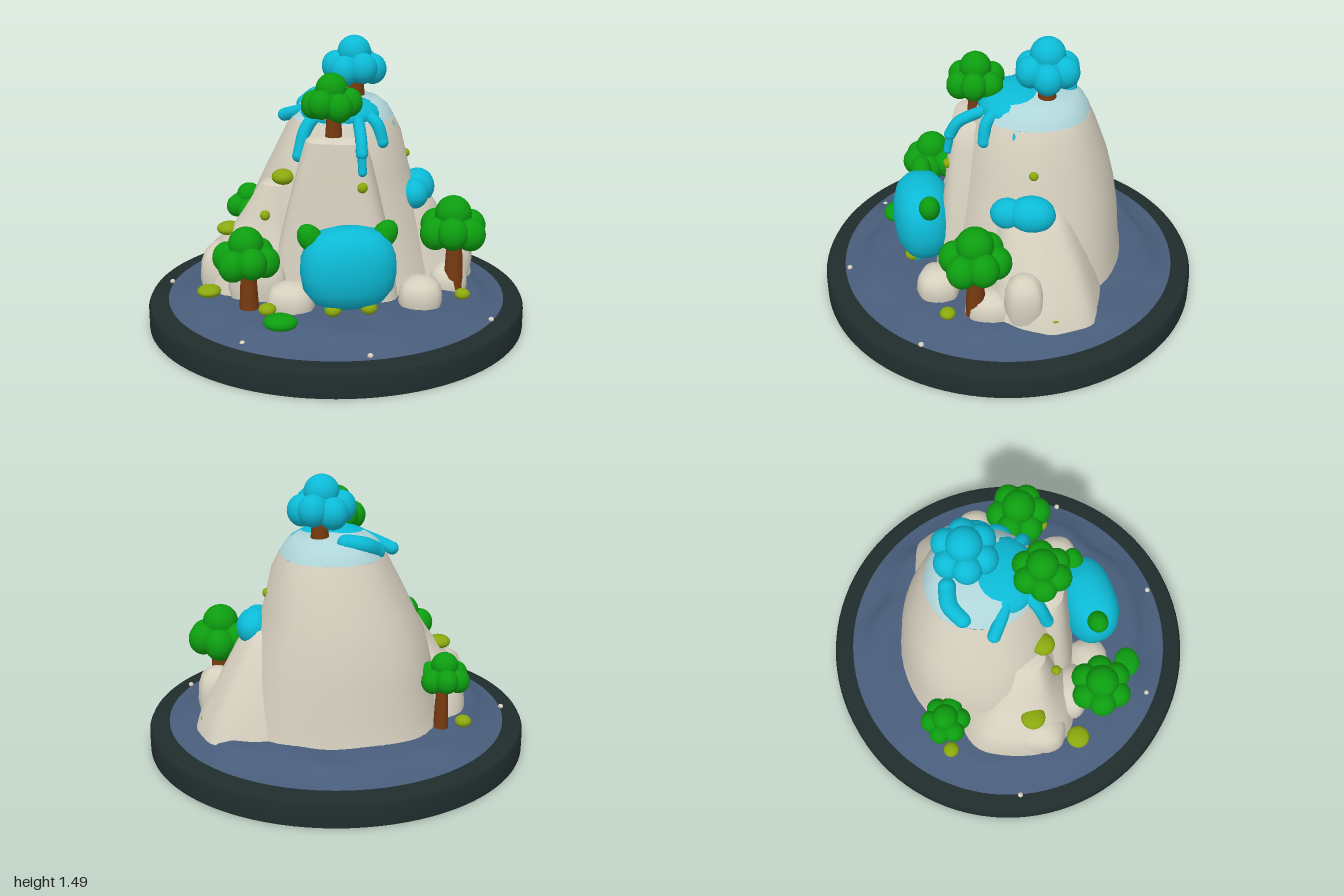
import * as THREE from 'three';
import { toCreasedNormals } from 'three/addons/utils/BufferGeometryUtils.js';

const mat = (name, color) => {
  const m = new THREE.MeshStandardMaterial({ color });
  m.name = name;
  return m;
};

export function createModel() {
  const M = {
    base: mat('dark slate', 0x202c2c),
    ground: mat('slate blue', 0x485d7b),
    rock: mat('pale stone', 0xd5cfbe),
    pale: mat('pale blue stone', 0xb0d6da),
    cyan: mat('cyan', 0x0cbad6),
    green: mat('leaf green', 0x0d9d10),
    lime: mat('lime moss', 0x8aa80e),
    bark: mat('bark brown', 0x77390f),
  };
  const model = new THREE.Group();

  const add = (name, geo, material, p = [0, 0, 0], parent = model) => {
    const m = new THREE.Mesh(geo, material);
    m.name = name;
    m.position.set(...p);
    parent.add(m);
    return m;
  };
  const blob = (name, material, p, s, parent = model, rot = [0, 0, 0]) => {
    const m = add(name, new THREE.SphereGeometry(1, 20, 14), material, p, parent);
    m.scale.set(...s);
    m.rotation.set(...rot);
    return m;
  };

  // Skins rounded cross-sections: each level is [y, xMin, xMax, zMin, zMax]
  const loft = (levels, power = 1, wave = 0, n = 48) => {
    const pos = [], idx = [];
    const bend = (v) => Math.sign(v) * Math.abs(v) ** power;
    levels.forEach(([y, x0, x1, z0, z1], i) => {
      for (let j = 0; j < n; j++) {
        const a = (j / n) * Math.PI * 2;
        const w = 1 + wave * (Math.sin(a * 5 + 1) + 0.6 * Math.sin(a * 8 + i * 0.3));
        pos.push((x0 + x1) / 2 + bend(Math.sin(a)) * w * (x1 - x0) / 2, y,
          (z0 + z1) / 2 + bend(Math.cos(a)) * w * (z1 - z0) / 2);
        if (i) {
          const k = (j + 1) % n, lo = (i - 1) * n, hi = i * n;
          idx.push(lo + j, lo + k, hi + k, lo + j, hi + k, hi + j);
        }
      }
    });
    const g = new THREE.BufferGeometry();
    g.setAttribute('position', new THREE.Float32BufferAttribute(pos, 3));
    g.setIndex(idx);
    return toCreasedNormals(g, 0.75);
  };

  // Round plinth with a softened rim
  const profile = [[0, 0], [1, 0], [1, 0.105], [0.99, 0.125], [0.965, 0.135], [0.9, 0.138], [0, 0.138]];
  add('plinth', toCreasedNormals(new THREE.LatheGeometry(
    profile.map(([r, y]) => new THREE.Vector2(r, y)), 96), 0.6), M.base);

  // Rippled ground rising toward the middle
  const ground = new THREE.LatheGeometry(
    [[0.9, 0.135], [0.89, 0.142], [0.81, 0.155], [0.77, 0.19], [0.72, 0.208], [0.6, 0.212], [0.4, 0.215], [0, 0.215]]
      .map(([r, y]) => new THREE.Vector2(r, y)), 96);
  const gp = ground.attributes.position;
  for (let i = 0; i < gp.count; i++) {
    const x = gp.getX(i), z = gp.getZ(i), r = Math.hypot(x, z), a = Math.atan2(z, x);
    if (r > 0.5 && r < 0.85) {
      const w = 1 + 0.02 * Math.sin(a * 7) + 0.012 * Math.sin(a * 13 + 1);
      gp.setXYZ(i, x * w, gp.getY(i) + 0.006 * Math.sin(a * 9 + r * 20), z * w);
    }
  }
  ground.computeVertexNormals();
  add('ground', ground, M.ground);

  // Mountain: main cone, pale summit, buttresses and shoulders
  add('mountainCore', loft([
    [0.18, -0.57, 0.55, -0.62, 0.36], [0.3, -0.53, 0.52, -0.6, 0.33], [0.48, -0.5, 0.47, -0.585, 0.3],
    [0.65, -0.46, 0.42, -0.555, 0.27], [0.8, -0.39, 0.37, -0.52, 0.24],
    [1.0, -0.29, 0.325, -0.455, 0.19], [1.08, -0.25, 0.285, -0.42, 0.15],
  ], 0.95, 0.008), M.rock);
  add('summit', loft([
    [1.08, -0.25, 0.285, -0.42, 0.15], [1.13, -0.215, 0.255, -0.395, 0.11],
    [1.165, -0.17, 0.21, -0.35, 0.05], [1.18, 0.02, 0.02, -0.15, -0.15],
  ], 0.95, 0.008), M.pale);
  add('frontButtress', loft([
    [0.18, -0.33, 0.36, 0, 0.37], [0.6, -0.24, 0.28, 0, 0.325], [0.9, -0.165, 0.205, 0, 0.295],
    [1.015, -0.13, 0.17, 0, 0.28], [1.03, -0.11, 0.15, 0, 0.255], [1.03, 0.02, 0.02, 0.12, 0.12],
  ], 0.55), M.rock);
  add('leftShoulder', loft([
    [0.18, -0.7, -0.1, -0.3, 0.36], [0.28, -0.69, -0.1, -0.27, 0.34], [0.4, -0.655, -0.1, -0.21, 0.3],
    [0.47, -0.57, -0.12, -0.15, 0.25], [0.6, -0.48, -0.15, -0.1, 0.22], [0.76, -0.38, -0.2, -0.05, 0.18],
    [0.8, -0.28, -0.28, 0.05, 0.05],
  ], 0.8, 0.01), M.rock);
  add('rightShoulder', loft([
    [0.18, 0.1, 0.72, -0.54, 0.08], [0.3, 0.1, 0.68, -0.5, 0.06], [0.45, 0.1, 0.59, -0.44, 0.04],
    [0.6, 0.1, 0.51, -0.37, 0.02], [0.7, 0.12, 0.44, -0.31, -0.01], [0.76, 0.25, 0.25, -0.15, -0.15],
  ], 0.8, 0.02), M.rock);

  // Boulders at the foot: position, half sizes
  [[-0.17, 0.25, 0.44, 0.12, 0.09, 0.11], [0.47, 0.26, 0.3, 0.11, 0.09, 0.11],
    [-0.58, 0.3, 0.15, 0.115, 0.14, 0.14], [-0.36, 0.3, 0.32, 0.15, 0.13, 0.1],
    [0.62, 0.33, -0.16, 0.1, 0.13, 0.1], [0.6, 0.24, 0.02, 0.1, 0.09, 0.12]].forEach(([x, y, z, a, b, c]) =>
    add('boulder', loft([-1, -0.3, 0.3, 0.7, 0.95, 1].map((h, i) => {
      const r = [0.85, 1, 0.95, 0.78, 0.4, 0][i];
      return [h * b, -a * r, a * r, -c * r, c * r];
    }), 0.75, 0.02, 28), M.rock, [x, y, z]));

  // Trees: [name, x, z, trunk foot y, canopy bottom y, canopy radius, leaf]
  [['frontTree', -0.385, 0.485, 0.2, 0.36, 0.16, M.green], ['rightTree', 0.62, 0.085, 0.2, 0.42, 0.172, M.green],
    ['ledgeTree', 0, 0.165, 1.0, 1.1, 0.147, M.green], ['backTree', -0.545, -0.355, 0.2, 0.4, 0.125, M.green],
    ['summitTree', 0.07, -0.205, 1.13, 1.21, 0.162, M.cyan]].forEach(([name, x, z, y0, y1, R, leaf], t) => {
    const tree = new THREE.Group();
    tree.name = name;
    model.add(tree);
    const top = y1 + R * 0.6, h = top - y0;
    add('trunk', new THREE.CylinderGeometry(R * 0.22, R * 0.31, h, 14), M.bark, [x + 0.01, y0 + h / 2, z], tree);
    for (let i = 0; i < 6; i++) {
      const a = (i / 6) * Math.PI * 2 + t * 0.5;
      blob('leafLobe', leaf, [x + Math.cos(a) * R * 0.6, y1 + R * (0.62 + 0.1 * (i % 2)), z + Math.sin(a) * R * 0.6],
        [R * 0.46, R * 0.5, R * 0.46], tree);
    }
    blob('leafCore', leaf, [x, y1 + R * 0.75, z], [R * 0.65, R * 0.6, R * 0.65], tree);
    blob('leafTop', leaf, [x, y1 + R * 1.18, z], [R * 0.55, R * 0.54, R * 0.55], tree);
  });

  // Round eared creature, turned slightly to its left
  const creature = new THREE.Group();
  creature.name = 'creature';
  creature.position.set(0.12, 0.435, 0.445);
  creature.rotation.y = 0.3;
  model.add(creature);
  add('body', loft([[-0.2, 0], [-0.195, 0.45], [-0.165, 0.74], [-0.1, 0.94], [-0.02, 1], [0.06, 0.98],
    [0.13, 0.87], [0.18, 0.65], [0.205, 0.32], [0.208, 0]].map(([y, r]) =>
    [y, -0.24 * r, 0.24 * r, -0.155 * r, 0.155 * r]), 0.85), M.cyan, [0, 0, 0], creature);
  for (const s of [-1, 1]) {
    blob('ear', M.green, [s * 0.185, 0.155, -0.02], [0.06, 0.08, 0.055], creature, [0, 0, -s * 0.6]);
    const tip = add('earTip', new THREE.ConeGeometry(0.045, 0.09, 16), M.green, [s * 0.212, 0.185, -0.02], creature);
    tip.rotation.z = -s * 0.35;
    add('leg', new THREE.CylinderGeometry(0.06, 0.035, 0.1, 16), M.cyan, [s * 0.09, -0.165, 0.05], creature);
    blob('foot', M.lime, [s * 0.09, -0.19, 0.07], [0.042, 0.033, 0.042], creature);
  }

  // Bright splash over the summit, with rounded runs
  blob('splashPool', M.cyan, [0.02, 1.105, -0.04], [0.215, 0.09, 0.19]);
  const run = (pts, r) => {
    const v = pts.map((p) => new THREE.Vector3(...p));
    add('splashRun', new THREE.TubeGeometry(new THREE.CatmullRomCurve3(v), 20, r, 10), M.cyan);
    for (const p of [pts[0], pts.at(-1)]) blob('splashRunEnd', M.cyan, p, [r, r, r]);
  };
  run([[-0.1, 1.14, 0], [-0.2, 1.11, -0.04], [-0.285, 1.08, -0.08]], 0.034);
  run([[-0.06, 1.13, 0.06], [-0.13, 1.07, 0.14], [-0.165, 0.93, 0.19]], 0.034);
  run([[0.15, 1.12, 0.03], [0.22, 1.08, 0.08], [0.25, 0.99, 0.09]], 0.032);
  run([[0.12, 1.11, 0.07], [0.155, 1.04, 0.23], [0.165, 0.97, 0.275]], 0.03);
  run([[0.165, 0.97, 0.275], [0.17, 0.88, 0.288]], 0.022);
  run([[-0.05, 1.165, -0.3], [-0.14, 1.15, -0.29], [-0.2, 1.11, -0.23]], 0.045);
  run([[0.2, 1.1, -0.05], [0.27, 1.05, -0.07], [0.29, 0.97, -0.06]], 0.025);
  blob('sidePatch', M.cyan, [0.42, 0.69, -0.17], [0.09, 0.095, 0.12], model, [0, 0, 0.25]);
  blob('sidePatch', M.cyan, [0.41, 0.68, -0.05], [0.075, 0.08, 0.09]);

  // Moss lumps, bushes and small pale pebbles: [x, y, z, half width, half height]
  [[-0.25, 0.81, 0.17, 0.06, 0.04], [0.17, 0.8, 0.287, 0.027, 0.027], [0.35, 0.87, -0.17, 0.024, 0.024],
    [-0.61, 0.24, 0.36, 0.062, 0.03], [-0.27, 0.235, 0.55, 0.045, 0.03], [0.65, 0.235, -0.31, 0.045, 0.03],
    [0.68, 0.235, 0.22, 0.04, 0.028], [-0.65, 0.235, -0.34, 0.042, 0.03], [-0.335, 0.62, 0.24, 0.026, 0.026],
    [-0.555, 0.5, 0.11, 0.065, 0.035]].forEach(([x, y, z, w, h]) => blob('mossLump', M.lime, [x, y, z], [w, h, w]));
  blob('bush', M.green, [-0.185, 0.22, 0.665], [0.085, 0.042, 0.07]);
  blob('summitBush', M.green, [0.155, 1.09, 0.06], [0.03, 0.025, 0.03]);
  for (const [x, z] of [[-0.9, 0.03], [-0.35, 0.77], [0.27, 0.83], [0.83, 0.33]])
    blob('pebble', M.rock, [x, 0.15, z], [0.014, 0.012, 0.014]);

  return model;
}
